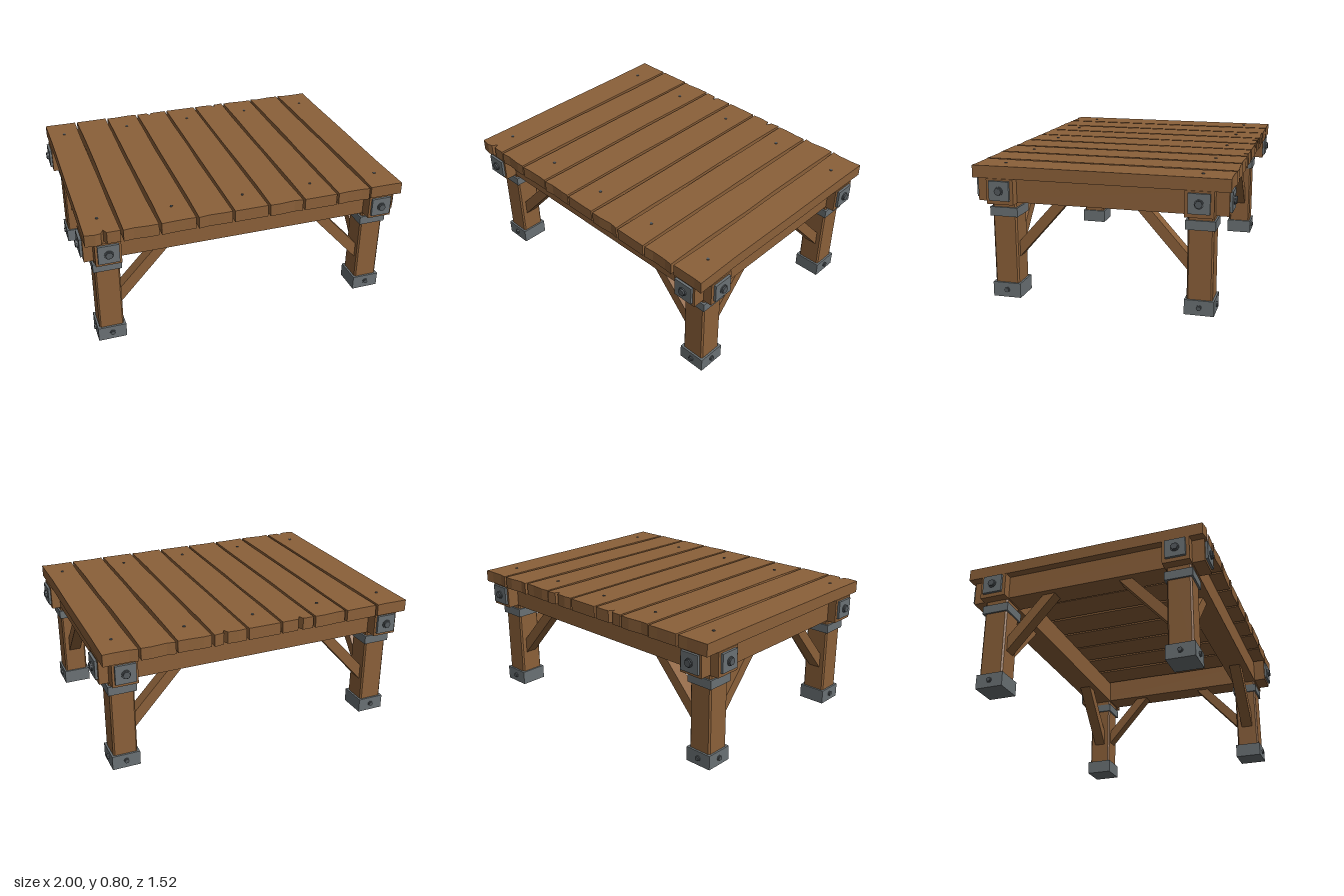
import * as THREE from 'three';

const LEG_X = 0.84, LEG_Z = 0.575;

export function createModel() {
  const wood = new THREE.MeshStandardMaterial({ color: 0x8b6039 });
  wood.name = 'wood';
  const iron = new THREE.MeshStandardMaterial({ color: 0x6a7174 });
  iron.name = 'iron';
  const bolt = new THREE.MeshStandardMaterial({ color: 0x555b5f });
  bolt.name = 'bolt iron';

  const model = new THREE.Group();
  model.name = 'plankTable';

  const add = (parent, name, geometry, material, x = 0, y = 0, z = 0) => {
    const mesh = new THREE.Mesh(geometry, material);
    mesh.name = name;
    mesh.position.set(x, y, z);
    parent.add(mesh);
    return mesh;
  };
  const box = (parent, name, material, w, h, d, x, y, z) =>
    add(parent, name, new THREE.BoxGeometry(w, h, d), material, x, y, z);
  const extrude = (points, depth) => new THREE.ExtrudeGeometry(
    new THREE.Shape(points.map(([x, y]) => new THREE.Vector2(x, y))),
    { depth, bevelEnabled: false });

  // Small seeded generator for the worn plank edges
  let seed = 7;
  const wobble = (amount) => {
    seed = (seed * 16807) % 2147483647;
    return (seed / 2147483647 - 0.5) * 2 * amount;
  };

  // Deck planks: rough outlines, some with a split in the end
  const splits = { 0: [1, 0.01], 3: [-1, -0.02], 5: [-1, 0.03] };
  const deck = new THREE.Group();
  deck.name = 'deck';
  model.add(deck);
  for (let i = 0; i < 9; i++) {
    const cx = (i - 4) * 0.2165, half = 0.101;
    const rough = i === 4 ? 0 : 1;
    const points = [];
    // One end of the plank, running from side -s to side s
    const end = (s) => {
      const split = splits[i] && splits[i][0] === s ? splits[i][1] : null;
      for (const t of [-1, -0.4, 0.5, 1]) {
        points.push([s * t * half, -s * (0.743 + wobble(0.005) * rough)]);
        if (t === -0.4 && split !== null) {
          points.push([split - s * 0.018, -s * 0.74], [split, -s * 0.708], [split + s * 0.014, -s * 0.74]);
        }
      }
    };
    // One long side of the plank
    const side = (s) => {
      for (const t of [-0.45, -0.1, 0.15, 0.5]) {
        points.push([s * (half - Math.abs(wobble(0.006)) * rough), s * t]);
      }
    };
    end(1);
    side(1);
    end(-1);
    side(-1);
    const geometry = extrude(points, 0.073);
    geometry.rotateX(-Math.PI / 2);
    add(deck, 'plank', geometry, wood, cx, 0.725, -0.003);
  }

  // Nails in every second plank
  for (let i = 0; i < 9; i += 2) {
    for (const sz of [-1, 1]) {
      add(deck, 'nail', new THREE.CylinderGeometry(0.009, 0.009, 0.012, 8), bolt,
        (i - 4) * 0.2165, 0.796, sz * LEG_Z);
    }
  }

  // Crossing frame beams
  for (const s of [-1, 1]) {
    box(model, 'longBeam', wood, 1.94, 0.149, 0.162, 0, 0.6505, s * LEG_Z);
    box(model, 'sideBeam', wood, 0.15, 0.145, 1.46, s * LEG_X, 0.6525, 0);
  }

  // Post with chamfered corners
  const h = 0.0735, c = 0.009;
  const postGeometry = extrude([
    [h - c, -h], [h, -h + c], [h, h - c], [h - c, h],
    [-h + c, h], [-h, h - c], [-h, -h + c], [-h + c, -h],
  ], 0.69);
  postGeometry.rotateX(-Math.PI / 2);

  // Diagonal braces, drawn outward from the post along +x
  const braceDepth = 0.075;
  const brace = (points) => {
    const geometry = extrude(points, braceDepth);
    geometry.translate(0, 0, -braceDepth / 2);
    return geometry;
  };
  const longBrace = brace([[0.05, 0.198], [0.41, 0.597], [0.325, 0.597], [0.05, 0.298]]);
  const sideBrace = brace([[0.05, 0.217], [0.388, 0.6], [0.308, 0.6], [0.05, 0.312]]);

  // Hexagonal bolt on a washer, pointing along +z
  const addBolt = (parent, radius, length, y, z) => {
    const washer = new THREE.CylinderGeometry(radius * 1.2, radius * 1.2, length * 0.4, 16);
    washer.rotateX(Math.PI / 2);
    add(parent, 'washer', washer, bolt, 0, y, z + length * 0.2);
    const head = new THREE.CylinderGeometry(radius, radius, length, 6);
    head.rotateY(Math.PI / 6);
    head.rotateX(Math.PI / 2);
    add(parent, 'boltHead', head, bolt, 0, y, z + length / 2);
  };

  // Four legs with iron shoes, collars, braces and bolted plates
  for (const sx of [-1, 1]) {
    for (const sz of [-1, 1]) {
      const leg = new THREE.Group();
      leg.name = 'leg';
      leg.position.set(sx * LEG_X, 0, sz * LEG_Z);
      model.add(leg);

      add(leg, 'post', postGeometry, wood, 0, 0.03, 0);
      box(leg, 'shoe', iron, 0.17, 0.088, 0.17, 0, 0.044, 0);
      box(leg, 'collar', iron, 0.168, 0.054, 0.168, 0, 0.521, 0);

      add(leg, 'longBrace', longBrace, wood).rotation.y = sx > 0 ? Math.PI : 0;
      add(leg, 'sideBrace', sideBrace, wood).rotation.y = sz * Math.PI / 2;

      // Outward fittings: [rotation, distance from post centre to beam end]
      const faces = [
        [sz > 0 ? 0 : Math.PI, 0.73 - LEG_Z],
        [sx * Math.PI / 2, 0.97 - LEG_X],
      ];
      for (const [angle, reach] of faces) {
        const fitting = new THREE.Group();
        fitting.name = 'fittings';
        fitting.rotation.y = angle;
        leg.add(fitting);
        box(fitting, 'plate', iron, 0.122, 0.114, 0.016, 0, 0.657, reach + 0.007);
        addBolt(fitting, 0.022, 0.015, 0.657, reach + 0.015);
        addBolt(fitting, 0.014, 0.011, 0.045, 0.085);
      }
    }
  }
  return model;
}
